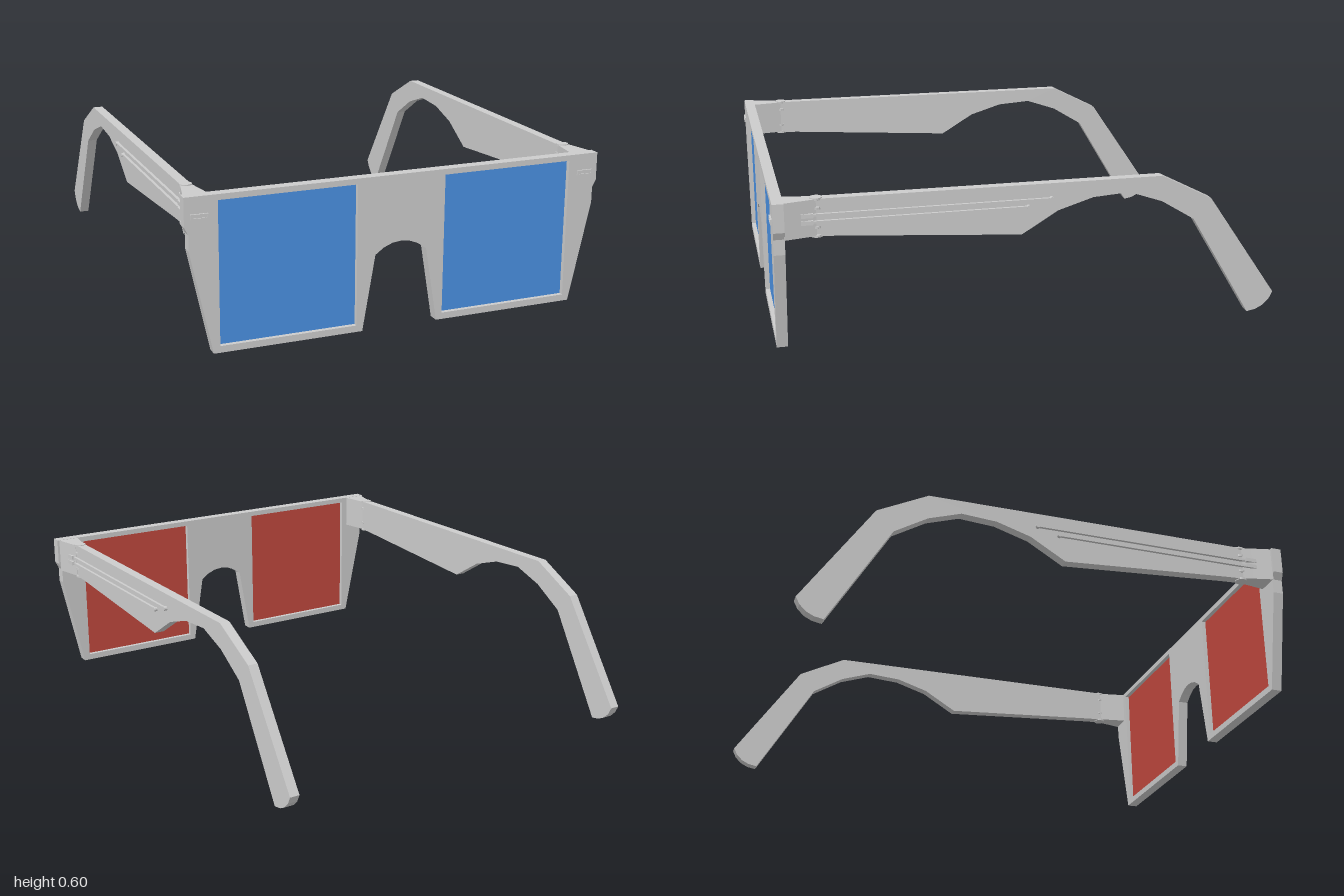
import * as THREE from 'three';

const grey = new THREE.MeshStandardMaterial({ color: 0xcccccc, flatShading: true });
const blue = new THREE.MeshStandardMaterial({ color: 0x4a90e2 });
const red = new THREE.MeshStandardMaterial({ color: 0xc0483e });

const shapeOf = (pts) => new THREE.Shape(pts.map(([x, y]) => new THREE.Vector2(x, y)));
const extrude = (shape, depth) => new THREE.ExtrudeGeometry(shape, { depth, bevelEnabled: false });

function add(parent, name, geometry, x = 0, y = 0, z = 0, material = grey) {
  const mesh = new THREE.Mesh(geometry, material);
  mesh.name = name;
  mesh.position.set(x, y, z);
  parent.add(mesh);
  return mesh;
}

// Lens opening
const LENS = { x: 0.448, y: 0.302, w: 0.538, h: 0.552 };

// Flat front with two lens openings and a nose arch
function frontFrame() {
  const half = [
    [0, 0.34], [0.035, 0.336], [0.07, 0.322], [0.105, 0.297], [0.155, 0], [0.742, 0],
    [0.828, 0.4], [0.828, 0.46], [0.843, 0.49], [0.843, 0.6],
  ];
  const mirrored = half.slice(1).reverse().map(([x, y]) => [-x, y]);
  const shape = shapeOf([...half, ...mirrored]);
  for (const s of [-1, 1]) {
    const x0 = s * LENS.x - LENS.w / 2, x1 = x0 + LENS.w;
    const y0 = LENS.y - LENS.h / 2, y1 = y0 + LENS.h;
    const hole = new THREE.Path();
    hole.moveTo(x0, y0).lineTo(x0, y1).lineTo(x1, y1).lineTo(x1, y0).closePath();
    shape.holes.push(hole);
  }
  return extrude(shape, 0.043);
}

// Side profile of an arm as [-z, y]
const ARM = [
  [-0.83, 0.6], [0.51, 0.6], [0.716, 0.495], [1, 0.08], [0.985, 0.05], [0.96, 0.025],
  [0.93, 0.01], [0.893, 0.003], [0.646, 0.415], [0.512, 0.497], [0.378, 0.543],
  [0.233, 0.533], [0.094, 0.49], [-0.05, 0.403], [-0.753, 0.452], [-0.83, 0.456],
];

// Spool-shaped hinge pin
const PIN = [[0, -0.022], [0.024, -0.022], [0.024, -0.013], [0.012, -0.008],
  [0.012, 0.008], [0.024, 0.013], [0.024, 0.022], [0, 0.022]];

function side(s) {
  const g = new THREE.Group();
  g.name = s > 0 ? 'leftSide' : 'rightSide';

  // Lens, coloured differently outside and inside
  const pane = new THREE.PlaneGeometry(LENS.w, LENS.h);
  add(g, 'lensFront', pane, s * LENS.x, LENS.y, 0.975, blue);
  add(g, 'lensBack', pane, s * LENS.x, LENS.y, 0.968, red).rotation.y = Math.PI;

  // Rivet plate on the front: a rim with a smaller plate inside
  const rim = shapeOf([[-0.033, -0.01], [0.033, -0.01], [0.033, 0.01], [-0.033, 0.01]]);
  rim.holes.push(new THREE.Path([[-0.028, -0.005], [-0.028, 0.005], [0.028, 0.005], [0.028, -0.005]]
    .map(([x, y]) => new THREE.Vector2(x, y))));
  add(g, 'rivetRim', extrude(rim, 0.01), s * 0.787, 0.526, 0.99);
  add(g, 'rivetPlate', new THREE.BoxGeometry(0.056, 0.01, 0.006), s * 0.787, 0.526, 0.993);

  // Tapered hinge block behind the frame, drawn as [x, -z]
  const block = shapeOf([[0.834, -0.952], [0.815, -0.87], [0.806, -0.83],
    [0.764, -0.83], [0.744, -0.952]].map(([x, v]) => [s * x, v]));
  add(g, 'hingeBlock', extrude(block, 0.142).rotateX(-Math.PI / 2), 0, 0.457, 0);

  // Hinge pins
  const pin = new THREE.LatheGeometry(PIN.map(([r, y]) => new THREE.Vector2(r, y)), 16);
  for (const y of [0.581, 0.473]) add(g, 'hingePin', pin, s * 0.785, y, 0.828);

  // Arm
  const arm = extrude(shapeOf(ARM), 0.04).rotateY(Math.PI / 2);
  add(g, 'arm', arm, s * 0.784 - 0.02, 0, 0);

  // Two decorative rods along the outside of the arm
  for (const [y, end] of [[0.54, -0.065], [0.513, 0.025]]) {
    const length = 0.86 - end;
    add(g, 'rod', new THREE.BoxGeometry(0.016, 0.009, length), s * 0.807, y, end + length / 2);
    add(g, 'rodClip', new THREE.BoxGeometry(0.026, 0.016, 0.045), s * 0.808, y, 0.865);
    add(g, 'rodEnd', new THREE.CylinderGeometry(0.009, 0.009, 0.02, 12).rotateZ(Math.PI / 2),
      s * 0.808, y, end);
  }
  return g;
}

export function createModel() {
  const model = new THREE.Group();
  model.name = 'glasses';
  add(model, 'frontFrame', frontFrame(), 0, 0, 0.95);
  for (const s of [-1, 1]) model.add(side(s));
  return model;
}
